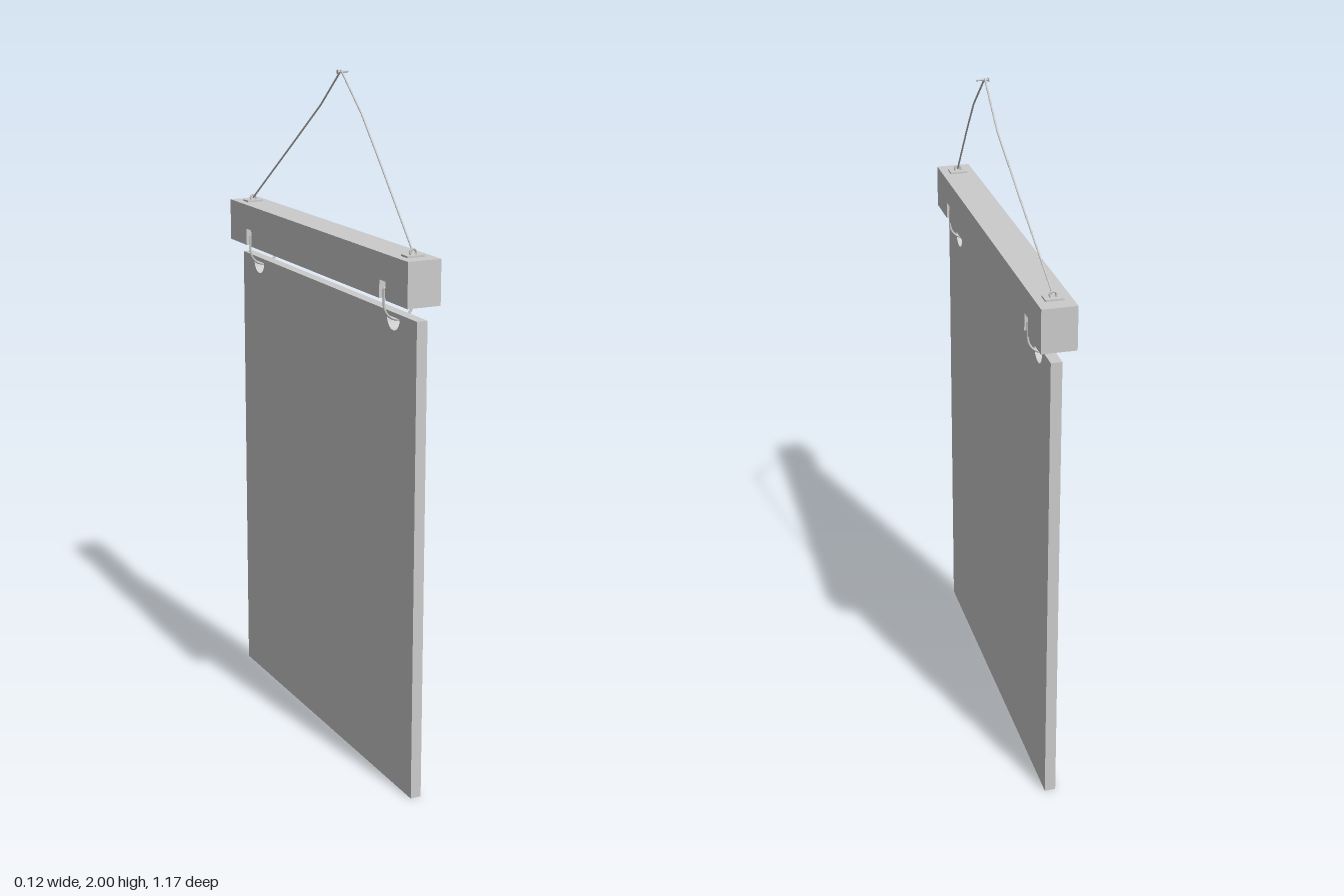
import * as THREE from 'three';

const grey = new THREE.MeshStandardMaterial({ color: 0xcccccc });
const HOOK_Z = 0.445; // loops joining beam and board
const ANCHOR_Z = 0.523; // cord fixings on top of the beam
const MID_X = -0.01; // centre plane of beam and board

function add(parent, name, geometry, x = 0, y = 0, z = 0) {
  const mesh = new THREE.Mesh(geometry, grey);
  mesh.name = name;
  mesh.position.set(x, y, z);
  parent.add(mesh);
  return mesh;
}

// Side outline (u = -z, v = y) given thickness along x
function slab(shape, x0, x1) {
  const g = new THREE.ExtrudeGeometry(shape, { depth: x1 - x0, bevelEnabled: false, curveSegments: 20 });
  return g.rotateY(Math.PI / 2).translate(x0, 0, 0);
}

const polygon = (pts) => new THREE.Shape(pts.map(([u, v]) => new THREE.Vector2(u, v)));

function tube(points, radius, segments, closed = false) {
  const path = new THREE.CurvePath();
  const count = closed ? points.length : points.length - 1;
  for (let i = 0; i < count; i++) path.add(new THREE.LineCurve3(points[i], points[(i + 1) % points.length]));
  return new THREE.TubeGeometry(path, segments, radius, 8, closed);
}

export function createModel() {
  const model = new THREE.Group();
  model.name = 'hangingSign';

  // Board with two half-round holes near its top edge
  const board = polygon([[-0.578, 0], [0.565, 0], [0.565, 1.388], [-0.578, 1.388]]);
  for (const s of [-1, 1]) {
    const hole = new THREE.Path();
    hole.absarc(s * HOOK_Z, 1.375, 0.037, Math.PI, Math.PI * 2, false);
    hole.closePath();
    board.holes.push(hole);
  }
  add(model, 'board', slab(board, -0.026, 0.006));

  // Beam: core with through windows, side layers with grooves for the loops
  const beam = new THREE.Group();
  beam.name = 'beam';
  model.add(beam);
  const L = 0.587, B = 1.427, T = 1.553, W = 0.018, top = 1.478, sill = 1.453;
  const core = polygon([[-L, B], [L, B], [L, T], [-L, T]]);
  const layer = [[-L, B]];
  for (const s of [-1, 1]) {
    const c = s * HOOK_Z;
    core.holes.push(polygon([[c - W, sill], [c - W, top], [c + W, top], [c + W, sill]]));
    layer.push([c - W, B], [c - W, top], [c + W, top], [c + W, B]);
  }
  layer.push([L, B], [L, T], [-L, T]);
  add(beam, 'beamCore', slab(core, -0.048, 0.028));
  add(beam, 'beamSideRight', slab(polygon(layer), -0.06, -0.048));
  add(beam, 'beamSideLeft', slab(polygon(layer), 0.028, 0.04));

  // Nail: shank going back along x with a flat head
  const nail = new THREE.Group();
  nail.name = 'nail';
  model.add(nail);
  add(nail, 'nailShank', new THREE.CylinderGeometry(0.0025, 0.0025, 0.034, 10).rotateZ(Math.PI / 2), 0.043, 1.993, 0);
  add(nail, 'nailHead', new THREE.CylinderGeometry(0.006, 0.006, 0.003, 12).rotateZ(Math.PI / 2), 0.0265, 1.993, 0);

  for (const s of [-1, 1]) {
    const side = s > 0 ? 'Front' : 'Back';

    // Wire loop through beam window and board hole
    const R = 0.045;
    const pts = [new THREE.Vector3(-R, 1.457, 0), new THREE.Vector3(R, 1.457, 0)];
    for (let i = 0; i <= 16; i++) {
      const a = (i / 16) * Math.PI;
      pts.push(new THREE.Vector3(R * Math.cos(a), 1.412 - R * Math.sin(a), 0));
    }
    add(model, 'wireLoop' + side, tube(pts, 0.0035, 96, true), MID_X, 0, s * HOOK_Z);

    // Fixing plate and eye for the cord
    const anchor = new THREE.Group();
    anchor.name = 'cordAnchor' + side;
    anchor.position.set(MID_X, T, s * ANCHOR_Z);
    model.add(anchor);
    add(anchor, 'anchorPlate', new THREE.BoxGeometry(0.052, 0.006, 0.036), 0, 0.002, 0);
    add(anchor, 'anchorEye', new THREE.TorusGeometry(0.009, 0.003, 8, 16), 0, 0.011, 0);

    // Cord rising from the eye to the nail, lying against the wall near the top
    const cord = [
      new THREE.Vector3(MID_X, 1.564, s * ANCHOR_Z),
      new THREE.Vector3(0.02, 1.768, s * 0.276),
      new THREE.Vector3(0.036, 1.888, s * 0.13),
      new THREE.Vector3(0.037, 1.997, 0),
    ];
    add(model, 'cord' + side, tube(cord, 0.0027, 48));
  }
  return model;
}
